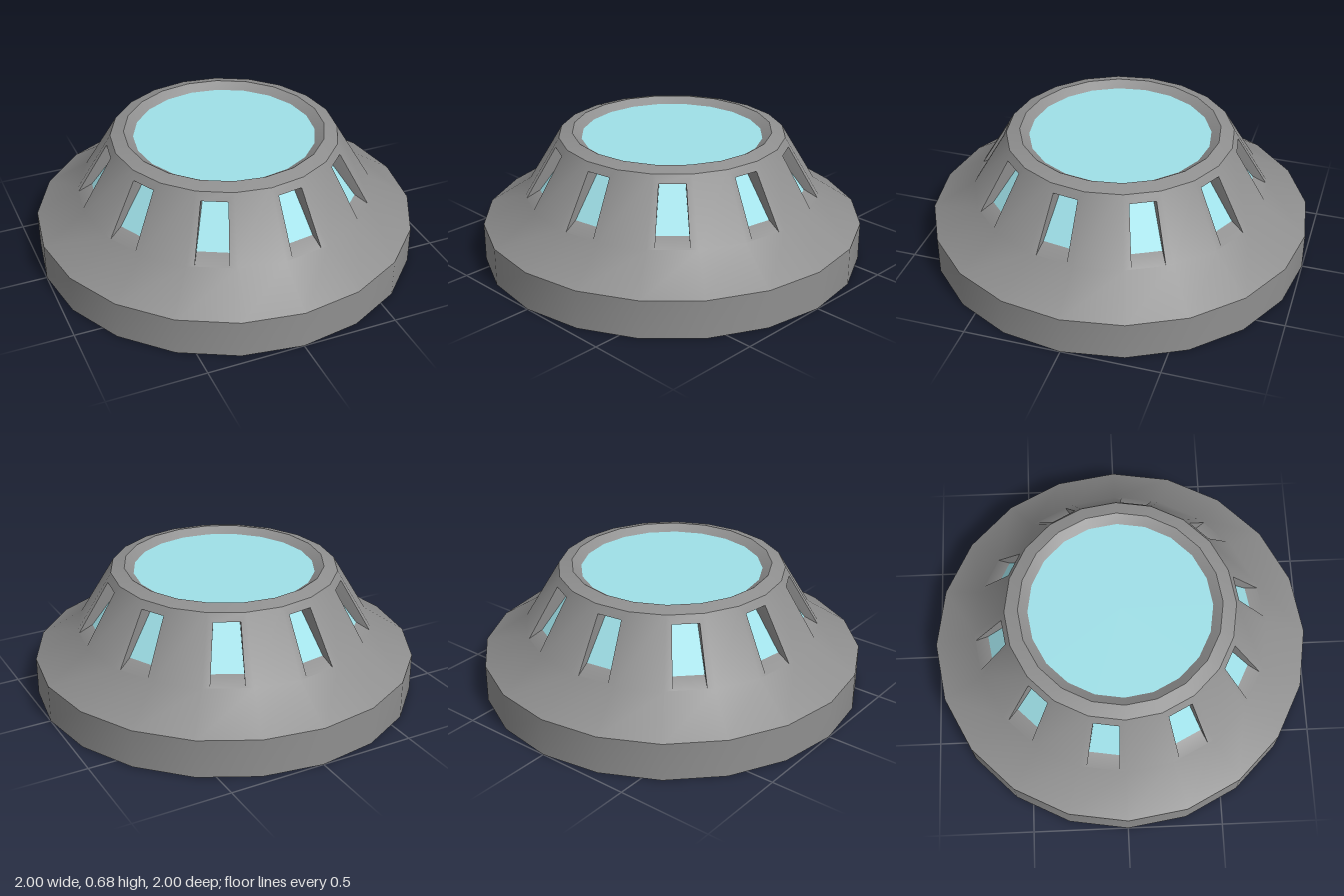
import * as THREE from 'three';
import { toCreasedNormals } from 'three/addons/utils/BufferGeometryUtils.js';

const SIDES = 20;
const STEP = (Math.PI * 2) / SIDES;
const HALF = STEP / 2;
const UP = new THREE.Vector3(0, 1, 0);

const grey = new THREE.MeshStandardMaterial({ color: 0x8f8f8f });
const glass = new THREE.MeshStandardMaterial({ color: 0x9fe0e8 });

// Mesh from quads, each listed counter-clockwise as seen from its front
function quadMesh(name, quads, material) {
  const points = quads.flatMap(([a, b, c, d]) => [a, b, c, a, c, d]);
  const geometry = new THREE.BufferGeometry().setFromPoints(points);
  const mesh = new THREE.Mesh(toCreasedNormals(geometry, 0.7), material);
  mesh.name = name;
  return mesh;
}

// Upright trapezoid facing +z, from [half width, height, depth] of its two level edges
const trapezoid = ([w0, y0, z0], [w1, y1, z1]) => [
  new THREE.Vector3(-w0, y0, z0), new THREE.Vector3(w0, y0, z0),
  new THREE.Vector3(w1, y1, z1), new THREE.Vector3(-w1, y1, z1),
];

// Level edge of a facet at a profile point [radius, height]
const facetEdge = ([r, y]) => [r * Math.sin(HALF), y, r * Math.cos(HALF)];
const facet = (p0, p1) => trapezoid(facetEdge(p0), facetEdge(p1));

const turned = (quad, i) => quad.map(p => p.clone().applyAxisAngle(UP, HALF + i * STEP));

// Strip of quads joining two four-cornered loops, bottom edge first
const joinLoops = (a, b) => a.map((p, i) => [p, a[(i + 1) % 4], b[(i + 1) % 4], b[i]]);

// Closed ring of facets along a profile
function ring(profile) {
  const quads = [];
  for (let i = 0; i < SIDES; i++)
    for (let k = 0; k < profile.length - 1; k++)
      quads.push(turned(facet(profile[k], profile[k + 1]), i));
  return quads;
}

function disc(name, radius, y, up, material) {
  const geometry = new THREE.CircleGeometry(radius, SIDES).rotateX(up ? -Math.PI / 2 : Math.PI / 2);
  const mesh = new THREE.Mesh(geometry, material);
  mesh.position.y = y;
  mesh.name = name;
  return mesh;
}

export function createModel() {
  const model = new THREE.Group();
  model.name = 'windowedDome';

  // Base drum and its underside
  model.add(quadMesh('base', ring([[1, 0], [1, 0.2]]), grey));
  model.add(disc('underside', 1, 0, false, grey));

  // Sloping wall: every other upper facet carries a recessed window
  const low = [0.775, 0.35], high = [0.59, 0.66];
  const wall = ring([[1, 0.2], low]);
  const outer = facet(low, high);
  // The opening starts at the lower crease; a sloping sill leads in to the pane
  const opening = facet(low, [0.614, 0.62]);
  for (const p of opening) p.x *= 0.69;
  const pane = trapezoid([0.081, 0.388, 0.694], [0.064, 0.595, 0.535]);

  const windows = new THREE.Group();
  windows.name = 'windows';
  for (let i = 0; i < SIDES; i++) {
    if (i % 2) {
      wall.push(turned(outer, i));
      continue;
    }
    const frame = joinLoops(outer, opening).slice(1);
    for (const q of [...frame, ...joinLoops(opening, pane)]) wall.push(turned(q, i));
    windows.add(quadMesh('windowPane', [turned(pane, i)], glass));
  }
  model.add(quadMesh('wall', wall, grey), windows);

  // Bevelled rim around the roof glass
  model.add(quadMesh('roofRim', ring([high, [0.52, 0.68], [0.472, 0.648]]), grey));
  model.add(disc('roofGlass', 0.472, 0.648, true, glass));

  return model;
}
